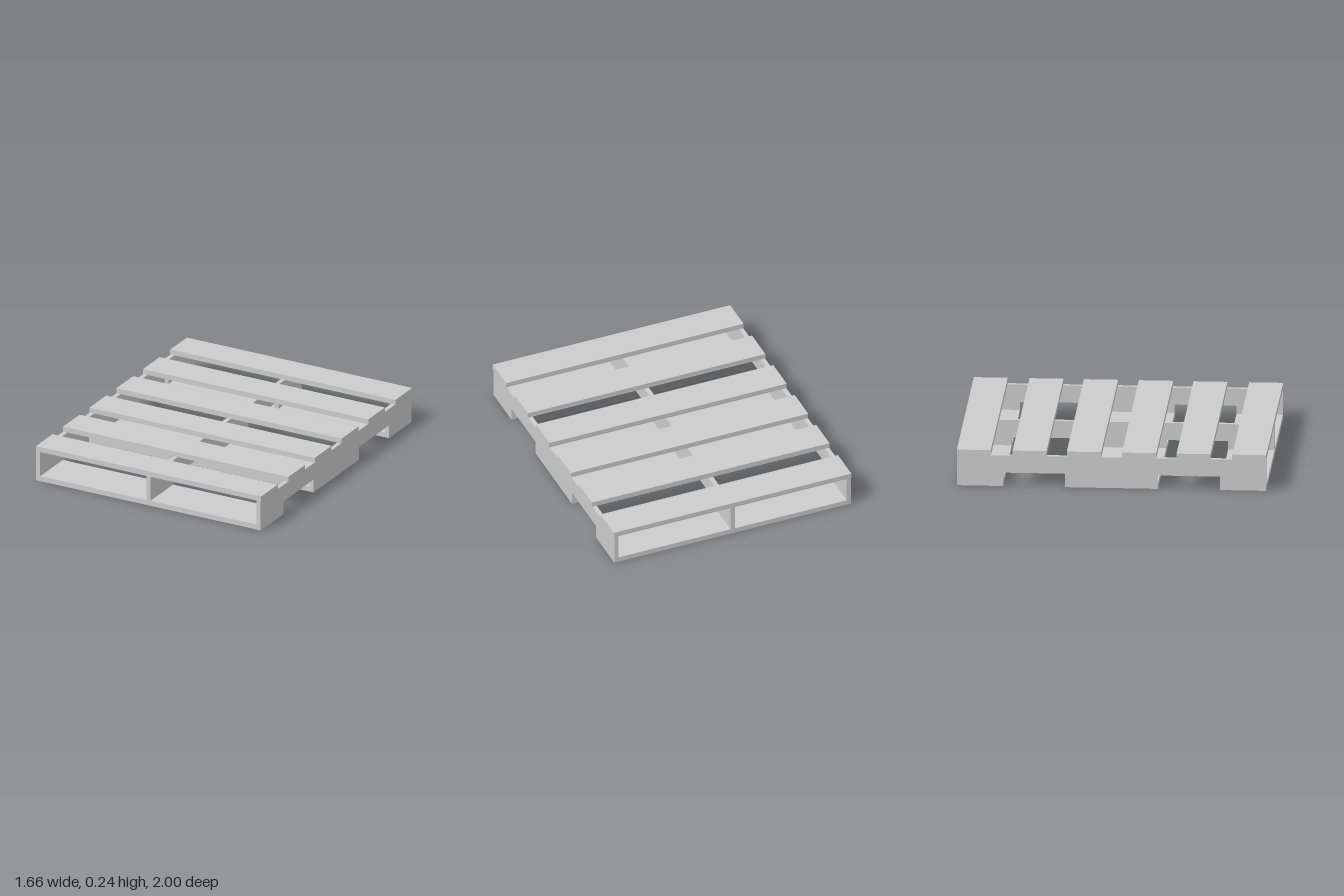
import * as THREE from 'three';

const TOP = 0.24, DECK = 0.205, BASE = 0.035, NOTCH = 0.09;

export function createModel() {
  const group = new THREE.Group();
  const material = new THREE.MeshStandardMaterial({ color: 0xcccccc, flatShading: true });

  // Board spanning explicit limits on each axis
  function board(name, x0, x1, y0, y1, z0, z1) {
    const mesh = new THREE.Mesh(new THREE.BoxGeometry(x1 - x0, y1 - y0, z1 - z0), material);
    mesh.position.set((x0 + x1) / 2, (y0 + y1) / 2, (z0 + z1) / 2);
    mesh.name = name;
    group.add(mesh);
  }

  // Notched stringer: side profile extruded across x; feet reach down to y = foot
  function stringer(name, x0, x1, foot) {
    const profile = [
      [-1, foot], [-0.7, foot], [-0.7, NOTCH], [-0.3, NOTCH], [-0.3, foot],
      [0.3, foot], [0.3, NOTCH], [0.7, NOTCH], [0.7, foot], [1, foot],
      [1, DECK], [-1, DECK],
    ].map(([z, y]) => new THREE.Vector2(z, y));
    const geometry = new THREE.ExtrudeGeometry(new THREE.Shape(profile), { depth: x1 - x0, bevelEnabled: false });
    geometry.rotateY(-Math.PI / 2); // profile x -> z, extrusion -> -x
    const mesh = new THREE.Mesh(geometry, material);
    mesh.position.x = x1;
    mesh.name = name;
    group.add(mesh);
  }

  stringer('rightStringer', -0.83, -0.8, 0);
  stringer('centreStringer', -0.016, 0.014, BASE);
  stringer('leftStringer', 0.798, 0.828, 0);

  // Six deck boards, mirrored front to back
  for (const [z0, z1] of [[0.78, 1], [0.42, 0.64], [0.067, 0.289]]) {
    board('deckBoard', -0.832, 0.832, DECK, TOP, z0, z1);
    board('deckBoard', -0.832, 0.832, DECK, TOP, -z1, -z0);
  }

  // Bottom boards fitted between the outer stringers
  for (const [z0, z1] of [[-1, -0.7], [-0.3, 0.3], [0.7, 1]]) {
    board('bottomBoard', -0.8, 0.798, 0, BASE, z0, z1);
  }

  return group;
}
